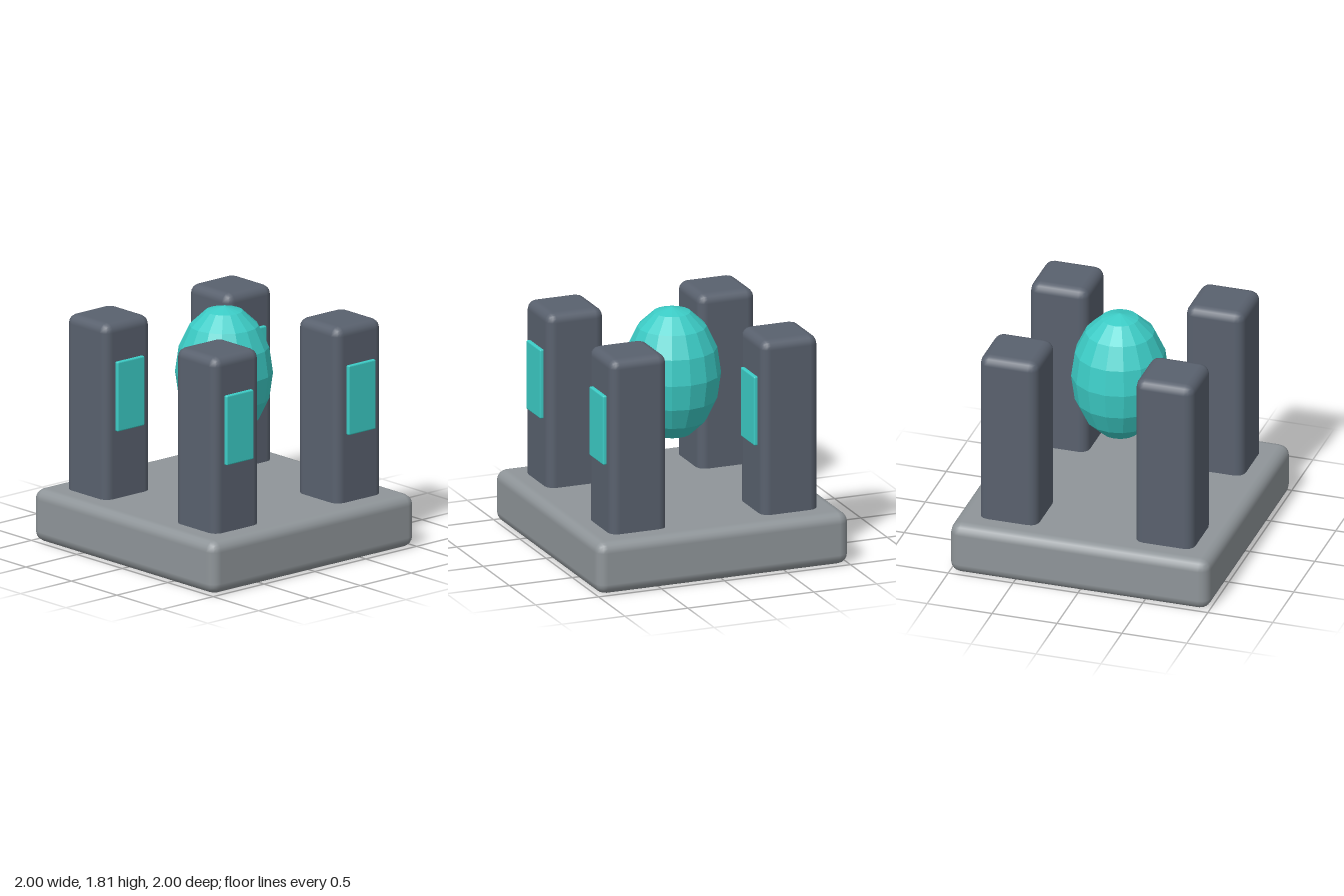
import * as THREE from 'three';
import { RoundedBoxGeometry } from 'three/addons/geometries/RoundedBoxGeometry.js';

function material(name, color, flatShading = false) {
  const m = new THREE.MeshStandardMaterial({ color, flatShading });
  m.name = name;
  return m;
}

export function createModel() {
  const model = new THREE.Group();
  model.name = 'pillarShrine';
  const stone = material('paleStone', 0x8f9599);
  const slate = material('darkSlate', 0x59616e);
  const teal = material('tealGlow', 0x3cccc6);
  teal.flatShading = true;

  function add(parent, name, geometry, mat, x, y, z) {
    const mesh = new THREE.Mesh(geometry, mat);
    mesh.name = name;
    mesh.position.set(x, y, z);
    parent.add(mesh);
    return mesh;
  }

  // Square plinth
  add(model, 'base', new RoundedBoxGeometry(2, 0.4, 2, 2, 0.08), stone, 0, 0.2, 0);

  // Four corner pillars sunk into the plinth, each with a panel on its front
  const pillarGeometry = new RoundedBoxGeometry(0.45, 1.435, 0.45, 2, 0.07);
  const panelGeometry = new RoundedBoxGeometry(0.265, 0.53, 0.035, 2, 0.01);
  for (const z of [0.6, -0.6]) {
    for (const x of [0.6, -0.6]) {
      const group = new THREE.Group();
      group.name = (z > 0 ? 'front' : 'back') + (x > 0 ? 'Left' : 'Right') + 'Pillar';
      group.position.set(x, 0, z);
      add(group, 'pillar', pillarGeometry, slate, 0, 1.0175, 0);
      add(group, 'panel', panelGeometry, teal, 0, 1.18, 0.235);
      model.add(group);
    }
  }

  // Floating faceted egg
  const egg = new THREE.SphereGeometry(0.36, 16, 8);
  egg.scale(1, 0.505 / 0.36, 1);
  add(model, 'floatingEgg', egg, teal, 0, 1.31, 0);

  return model;
}
